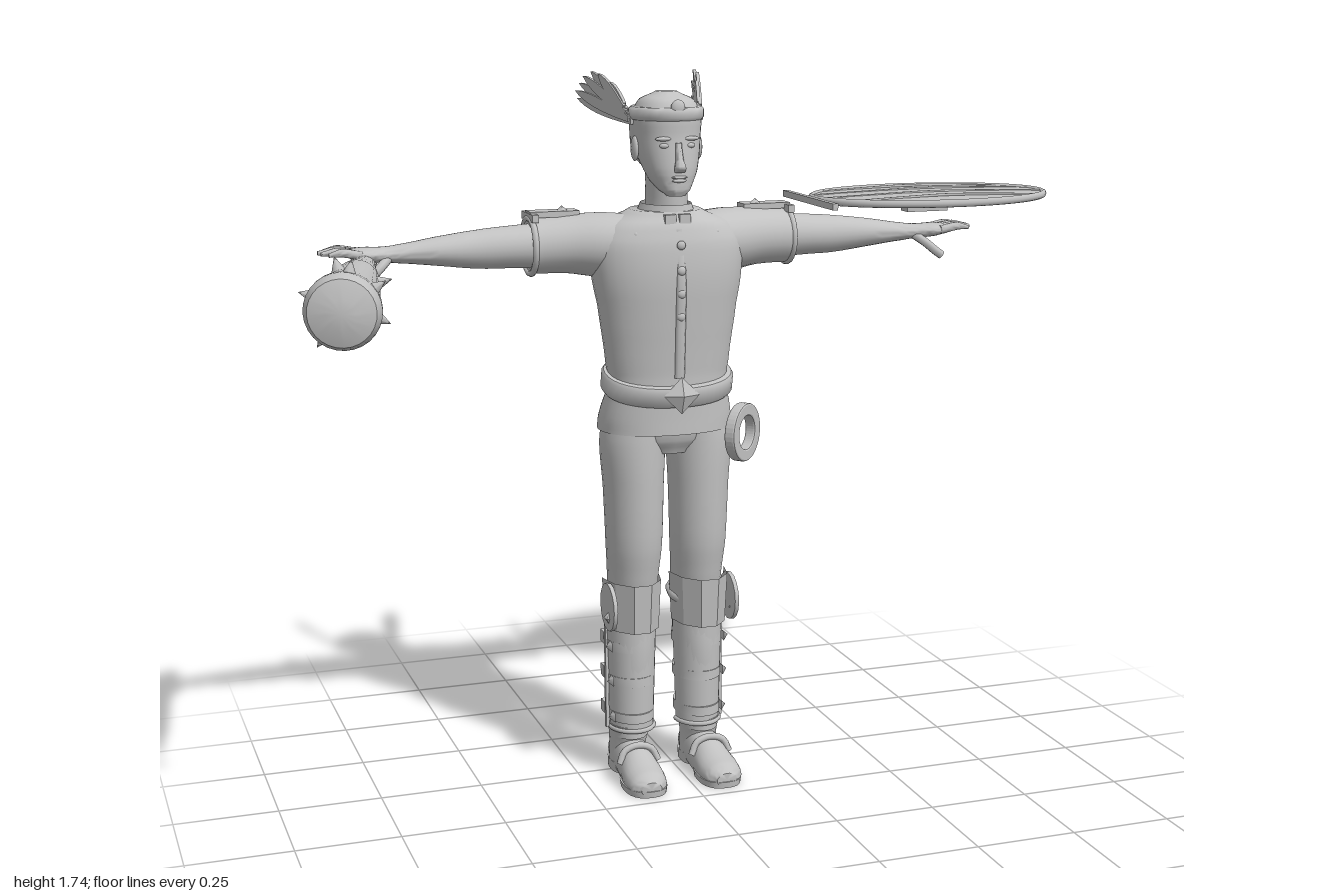
import * as THREE from 'three';
import { toCreasedNormals } from 'three/addons/utils/BufferGeometryUtils.js';

const grey = new THREE.MeshStandardMaterial({ color: 0xc2c2c2, side: THREE.DoubleSide });
grey.name = 'plain grey';

// Smooth loft of [position, a, b, ra, rb] sections: (a, b) is (x, z) on axis y, (z, y) on axis x, (y, x) on axis z
function loft(axis, rows, { n = 24, sub = 4, power = 2, caps = true, floor = -Infinity } = {}) {
  const secs = [];
  const cat = (p0, p1, p2, p3, t) => 0.5 * (2 * p1 + (p2 - p0) * t + (2 * p0 - 5 * p1 + 4 * p2 - p3) * t * t + (3 * p1 - p0 - 3 * p2 + p3) * t ** 3);
  const row = (i) => rows[Math.min(Math.max(i, 0), rows.length - 1)];
  for (let i = 0; i < rows.length - 1; i++) {
    for (let k = 0; k < sub; k++) {
      secs.push(rows[i].map((_, c) => (c === 0 || sub === 1)
        ? rows[i][c] + (rows[i + 1][c] - rows[i][c]) * k / sub
        : cat(row(i - 1)[c], row(i)[c], row(i + 1)[c], row(i + 2)[c], k / sub)));
    }
  }
  secs.push(rows[rows.length - 1]);
  const pos = [], idx = [];
  const put = (p, a, b) => {
    const v = axis === 'y' ? [a, p, b] : axis === 'x' ? [p, b, a] : [b, a, p];
    pos.push(v[0], Math.max(v[1], floor), v[2]);
  };
  const bend = (v) => Math.sign(v) * Math.abs(v) ** (2 / power);
  for (const [p, a, b, ra, rb] of secs) {
    for (let j = 0; j < n; j++) {
      const t = j / n * Math.PI * 2;
      put(p, a + ra * bend(Math.cos(t)), b + rb * bend(Math.sin(t)));
    }
  }
  for (let i = 0; i < secs.length - 1; i++) {
    for (let j = 0; j < n; j++) {
      const k = (j + 1) % n, A = i * n + j, B = i * n + k;
      idx.push(A, A + n, B, B, A + n, B + n);
    }
  }
  if (caps) {
    const last = secs.length - 1, c = secs.length * n;
    put(secs[0][0], secs[0][1], secs[0][2]);
    put(secs[last][0], secs[last][1], secs[last][2]);
    for (let j = 0; j < n; j++) {
      const k = (j + 1) % n;
      idx.push(c, j, k, c + 1, last * n + k, last * n + j);
    }
  }
  const g = new THREE.BufferGeometry();
  g.setAttribute('position', new THREE.Float32BufferAttribute(pos, 3));
  g.setIndex(idx);
  return toCreasedNormals(g, 0.9);
}

// Mirror image across x with corner order restored
function mirrored(geo) {
  const g = geo.index ? geo.toNonIndexed() : geo.clone();
  for (const key of ['position', 'normal']) {
    const a = g.attributes[key].array;
    for (let i = 0; i < a.length; i += 9) {
      for (let c = 0; c < 3; c++) [a[i + 3 + c], a[i + 6 + c]] = [a[i + 6 + c], a[i + 3 + c]];
      for (let c = 0; c < 9; c += 3) a[i + c] *= -1;
    }
  }
  return g;
}

function add(parent, name, geo) {
  const m = new THREE.Mesh(geo, grey);
  m.name = name;
  parent.add(m);
  return m;
}
const pair = (parent, name, geo) => { add(parent, name + 'Left', geo); add(parent, name + 'Right', mirrored(geo)); };
const box = (w, h, d, x, y, z) => new THREE.BoxGeometry(w, h, d).translate(x, y, z);
const ball = (r, x, y, z, sx = 1, sy = 1, sz = 1) => new THREE.SphereGeometry(r, 12, 8).scale(sx, sy, sz).translate(x, y, z);
const tube = (pts, r, n = 8) => new THREE.TubeGeometry(new THREE.CatmullRomCurve3(pts.map((p) => new THREE.Vector3(...p))), 12, r, n);

function addHead(f) {
  add(f, 'neck', loft('y', [[1.38, 0, -0.21, 0.062, 0.072], [1.43, 0, -0.2, 0.05, 0.066], [1.54, 0, -0.195, 0.05, 0.064]]));
  add(f, 'head', loft('y', [[1.463, 0, -0.125, 0.022, 0.02], [1.475, 0, -0.137, 0.036, 0.038], [1.495, 0, -0.158, 0.05, 0.06],
    [1.52, 0, -0.168, 0.062, 0.07], [1.56, 0, -0.188, 0.073, 0.086], [1.6, 0, -0.195, 0.078, 0.088],
    [1.65, 0, -0.196, 0.08, 0.088], [1.685, 0, -0.196, 0.062, 0.07], [1.703, 0, -0.196, 0.025, 0.03]], { n: 32, power: 2.2 }));
  add(f, 'hair', loft('y', [[1.53, 0, -0.23, 0.055, 0.04], [1.55, 0, -0.23, 0.073, 0.05], [1.6, 0, -0.222, 0.081, 0.066], [1.65, 0, -0.215, 0.083, 0.074]]));
  add(f, 'nose', loft('y', [[1.52, 0, -0.097, 0.013, 0.01], [1.53, 0, -0.092, 0.014, 0.016], [1.55, 0, -0.098, 0.009, 0.014], [1.588, 0, -0.108, 0.008, 0.01]], { n: 12 }));
  add(f, 'upperLip', ball(0.02, 0, 1.508, -0.099, 1, 0.2, 0.4));
  add(f, 'lowerLip', ball(0.018, 0, 1.5, -0.1, 1, 0.25, 0.4));
  pair(f, 'brow', ball(0.022, 0.033, 1.597, -0.114, 1, 0.25, 0.4));
  pair(f, 'eye', ball(0.012, 0.031, 1.581, -0.114, 1.1, 0.55, 0.6));
  pair(f, 'ear', ball(0.03, 0.079, 1.57, -0.195, 0.3, 1, 0.62));
  // Headband with front ornament and knot behind
  add(f, 'headband', loft('y', [[1.638, 0, -0.197, 0.084, 0.094], [1.645, 0, -0.197, 0.089, 0.099], [1.662, 0, -0.197, 0.089, 0.099], [1.668, 0, -0.197, 0.083, 0.093]], { n: 32, sub: 1 }));
  add(f, 'headbandOrnament', ball(0.02, 0, 1.668, -0.108, 0.9, 1, 0.5));
  add(f, 'headbandKnot', ball(0.018, 0, 1.65, -0.296, 1.2, 0.9, 0.6));
  // Feather fans: leaf from (u, y) base to (u, y) tip, u running backward
  const tips = [[0.445, 1.675], [0.447, 1.693], [0.435, 1.712], [0.41, 1.73], [0.38, 1.742], [0.34, 1.738], [0.3, 1.72]];
  tips.forEach(([u, y], i) => {
    const bu = 0.2 + 0.006 * i, by = 1.632 + 0.006 * i, len = Math.hypot(u - bu, y - by);
    const leaf = new THREE.Shape().moveTo(0, -0.006).quadraticCurveTo(len * 0.75, -0.026, len, 0)
      .quadraticCurveTo(len * 0.75, 0.02, 0, 0.008);
    pair(f, 'feather' + (i + 1), new THREE.ExtrudeGeometry(leaf, { depth: 0.008, bevelEnabled: false, curveSegments: 8 })
      .translate(0, 0, (i % 2) * 0.004).rotateZ(Math.atan2(y - by, u - bu)).translate(bu - 0.19, by, 0)
      .rotateY(Math.PI / 2 - 0.26).translate(0.078, 0, -0.19));
  });
}

function addTorso(f) {
  add(f, 'tunic', loft('y', [[0.89, 0, -0.225, 0.166, 0.124], [0.93, 0, -0.217, 0.163, 0.115], [1.0, 0, -0.2, 0.148, 0.098],
    [1.05, 0, -0.197, 0.152, 0.096], [1.2, 0, -0.195, 0.172, 0.106], [1.28, 0, -0.2, 0.186, 0.115],
    [1.35, 0, -0.208, 0.186, 0.117], [1.395, 0, -0.214, 0.155, 0.108], [1.425, 0, -0.21, 0.085, 0.085]], { n: 36, power: 2.25 }));
  add(f, 'collar', loft('y', [[1.4, 0, -0.208, 0.076, 0.088], [1.44, 0, -0.203, 0.06, 0.076]], { sub: 1, caps: false }));
  pair(f, 'collarFlap', box(0.028, 0.05, 0.012, 0.018, 1.395, -0.115).rotateZ(0));
  add(f, 'placket', tube([[0, 1.385, -0.108], [0, 1.28, -0.087], [0, 1.15, -0.093], [0, 1.03, -0.102]], 0.007, 6).scale(1.8, 1, 1));
  for (const y of [1.35, 1.29, 1.235, 1.18, 1.12]) add(f, 'button', ball(0.011, 0, y, -0.083 - 0.6 * Math.abs(y - 1.27) ** 2, 1, 1, 0.6));
  // Stud rows on the yoke
  for (let i = 0; i < 13; i++) {
    const x = (i - 6) * 0.026;
    add(f, 'backStud', ball(0.007, x, 1.382 - x * x * 0.6, -0.327 + x * x * 0.9));
  }
  for (let i = 0; i < 4; i++) pair(f, 'frontStud', ball(0.007, 0.1 + i * 0.03, 1.375, -0.122 - i * 0.02));
  // Belt tilted down at the front, with diamond buckle
  add(f, 'belt', loft('y', [[-0.025, 0, 0, 0.158, 0.112], [-0.018, 0, 0, 0.163, 0.117], [0.018, 0, 0, 0.163, 0.117], [0.025, 0, 0, 0.158, 0.112]], { n: 36, sub: 1, power: 2.2 })
    .rotateX(0.25).translate(0, 1.01, -0.2));
  add(f, 'buckle', new THREE.OctahedronGeometry(0.045).scale(1, 1, 0.4).translate(0, 0.99, -0.085));
  // Ring hanging at the hip
  const ring = new THREE.Shape().absellipse(0, 0, 0.067, 0.067, 0, Math.PI * 2);
  ring.holes.push(new THREE.Path().absellipse(0, 0, 0.045, 0.045, 0, Math.PI * 2));
  add(f, 'hipRing', new THREE.ExtrudeGeometry(ring, { depth: 0.018, bevelSize: 0.004, bevelThickness: 0.005, bevelSegments: 2, curveSegments: 20 })
    .translate(0, 0, -0.009).rotateY(0.75).translate(0.147, 0.895, -0.065));
}

function addArms(f) {
  pair(f, 'sleeve', loft('x', [[0.09, -0.215, 1.345, 0.09, 0.07], [0.16, -0.228, 1.342, 0.088, 0.077], [0.24, -0.243, 1.345, 0.076, 0.07], [0.328, -0.25, 1.343, 0.07, 0.067]]));
  pair(f, 'cuff', new THREE.TorusGeometry(0.066, 0.008, 8, 24).rotateY(Math.PI / 2).translate(0.325, 1.343, -0.25));
  pair(f, 'epaulette', box(0.12, 0.014, 0.05, 0.268, 1.418, -0.25));
  pair(f, 'epauletteBand', box(0.016, 0.018, 0.1, 0.322, 1.412, -0.25));
  pair(f, 'epauletteStud', new THREE.ConeGeometry(0.014, 0.012, 4).translate(0.245, 1.43, -0.25));
  pair(f, 'arm', loft('x', [[0.3, -0.25, 1.343, 0.054, 0.054], [0.38, -0.252, 1.342, 0.052, 0.05], [0.45, -0.253, 1.34, 0.047, 0.046],
    [0.55, -0.25, 1.34, 0.04, 0.034], [0.64, -0.25, 1.338, 0.03, 0.022], [0.68, -0.25, 1.338, 0.032, 0.018],
    [0.72, -0.25, 1.34, 0.044, 0.017], [0.75, -0.25, 1.342, 0.044, 0.013]]));
  // Fingers and thumb
  [0.065, 0.08, 0.076, 0.062].forEach((len, i) => {
    const z = -0.284 + i * 0.023;
    pair(f, 'finger' + (i + 1), loft('x', [[0.73, z, 1.342, 0.011, 0.011], [0.745 + len / 2, z * 1.02 + 0.005, 1.35, 0.01, 0.01], [0.745 + len, z * 1.06 + 0.015, 1.346, 0.005, 0.005]], { n: 10 }));
  });
  pair(f, 'thumb', tube([[0.665, 1.332, -0.235], [0.69, 1.312, -0.212], [0.712, 1.293, -0.205], [0.73, 1.28, -0.203]], 0.011));
}

function addLegs(f) {
  add(f, 'pelvis', loft('y', [[0.835, 0, -0.215, 0.08, 0.07], [0.87, 0, -0.217, 0.145, 0.09], [0.95, 0, -0.21, 0.15, 0.095]]));
  pair(f, 'trouser', loft('y', [[0.1, 0.093, -0.235, 0.045, 0.06], [0.2, 0.09, -0.235, 0.052, 0.062], [0.32, 0.086, -0.234, 0.057, 0.07],
    [0.42, 0.084, -0.235, 0.06, 0.07], [0.455, 0.084, -0.24, 0.064, 0.078], [0.5, 0.083, -0.23, 0.062, 0.078],
    [0.6, 0.083, -0.215, 0.069, 0.082], [0.75, 0.084, -0.213, 0.074, 0.088], [0.86, 0.085, -0.215, 0.08, 0.092], [0.93, 0.08, -0.215, 0.075, 0.09]]));
  pair(f, 'trouserFold', new THREE.TorusGeometry(0.058, 0.014, 8, 24).rotateX(Math.PI / 2 + 0.2).scale(1, 1, 1.2).translate(0.084, 0.455, -0.24));
  // Shin guard and faceted knee guard wrap the front half
  const half = (top, bottom, h, n, sz, y, z) => new THREE.CylinderGeometry(top, bottom, h, n, 3, true, -Math.PI / 2, Math.PI).scale(1, 1, sz).translate(0.087, y, z);
  pair(f, 'shinGuard', half(0.064, 0.055, 0.29, 16, 1.17, 0.265, -0.237));
  pair(f, 'shinGuardRim', new THREE.TorusGeometry(0.056, 0.006, 6, 16, Math.PI).rotateX(Math.PI / 2).scale(1, 1, 1.17).translate(0.087, 0.122, -0.237));
  pair(f, 'kneeGuard', toCreasedNormals(half(0.073, 0.067, 0.125, 5, 1.55, 0.45, -0.235), 0.3));
  pair(f, 'kneeSide', new THREE.CylinderGeometry(0.06, 0.06, 0.01, 16).rotateZ(Math.PI / 2).translate(0.157, 0.45, -0.185));
  pair(f, 'kneeStud', new THREE.ConeGeometry(0.016, 0.014, 4).rotateX(Math.PI / 4).rotateZ(-Math.PI / 2).translate(0.165, 0.425, -0.17));
  pair(f, 'sideEdge', box(0.008, 0.29, 0.012, 0.15, 0.265, -0.237));
  // Three straps with studs and buckles
  for (const [y, r] of [[0.34, 0.063], [0.25, 0.06], [0.155, 0.057]]) {
    pair(f, 'strap', loft('y', [[y - 0.012, 0.088, -0.24, r, 0.075], [y + 0.012, 0.088, -0.24, r, 0.075]], { sub: 1 }));
    pair(f, 'strapBuckle', box(0.03, 0.032, 0.012, 0.105, y, -0.318));
    pair(f, 'strapLoop', box(0.012, 0.03, 0.03, 0.138, y, -0.295));
    pair(f, 'strapStud', new THREE.ConeGeometry(0.017, 0.014, 4).rotateY(Math.PI / 4).rotateZ(-Math.PI / 2).translate(0.087 + r + 0.004, y, -0.207));
  }
  // Boots
  pair(f, 'bootShaft', loft('y', [[0.02, 0.094, -0.25, 0.045, 0.052], [0.08, 0.094, -0.245, 0.046, 0.056], [0.13, 0.093, -0.237, 0.051, 0.064]]));
  pair(f, 'bootFoot', loft('z', [[-0.305, 0.045, 0.094, 0.03, 0.025], [-0.285, 0.045, 0.094, 0.048, 0.04], [-0.22, 0.04, 0.094, 0.062, 0.044],
    [-0.16, 0.032, 0.095, 0.056, 0.047], [-0.1, 0.025, 0.097, 0.042, 0.052], [-0.055, 0.022, 0.098, 0.033, 0.046], [-0.032, 0.02, 0.098, 0.018, 0.026]], { floor: 0.004 }));
  pair(f, 'sole', loft('y', [[0, 0.097, -0.105, 0.052, 0.075], [0.016, 0.097, -0.105, 0.054, 0.077]], { sub: 1, power: 2.5 }));
  pair(f, 'heel', loft('y', [[0, 0.094, -0.255, 0.044, 0.05], [0.026, 0.094, -0.255, 0.045, 0.051]], { sub: 1, power: 3 }));
  pair(f, 'bootStrap', tube([[0.045, 0.05, -0.15], [0.06, 0.08, -0.155], [0.095, 0.092, -0.155], [0.13, 0.08, -0.155], [0.144, 0.05, -0.15]], 0.009));
}

function createClub() {
  const club = new THREE.Group();
  club.name = 'club';
  const from = new THREE.Vector3(-0.712, 1.316, -0.37), dir = new THREE.Vector3(-0.205, 0, 0.81);
  club.position.copy(from);
  club.quaternion.setFromUnitVectors(new THREE.Vector3(0, 1, 0), dir.normalize());
  const profile = [[0, 0], [0.02, 0], [0.023, 0.01], [0.025, 0.15], [0.035, 0.26], [0.05, 0.4], [0.06, 0.55], [0.069, 0.68], [0.079, 0.78], [0.08, 0.8], [0.07, 0.825], [0.03, 0.838], [0, 0.838]];
  add(club, 'clubBody', toCreasedNormals(new THREE.LatheGeometry(profile.map((p) => new THREE.Vector2(...p)), 28), 0.8));
  const spikes = [[0.67, 90], [0.62, 270], [0.45, 270], [0.53, 180], [0.5, 0], [0.71, 150], [0.78, 20], [0.78, 65], [0.7, 320], [0.74, 220]];
  for (const [t, deg] of spikes) {
    add(club, 'spike', new THREE.ConeGeometry(0.015, 0.032, 8).rotateZ(-Math.PI / 2)
      .translate(0.052 + (t - 0.4) * 0.07 + 0.011, t, 0).rotateY(deg * Math.PI / 180));
  }
  return club;
}

function createShield() {
  const shield = new THREE.Group();
  shield.name = 'shield';
  shield.position.set(0.683, 1.422, -0.242);
  const RX = 0.312, RZ = 0.2;
  add(shield, 'board', loft('y', [[0, 0, 0, RX, RZ], [0.01, 0, 0, RX, RZ], [0.014, 0, 0, RX * 0.75, RZ * 0.75], [0.017, 0, 0, RX * 0.4, RZ * 0.4], [0.018, 0, 0, 0.01, 0.01]], { n: 48, sub: 1 }));
  add(shield, 'rim', new THREE.TorusGeometry(1, 0.03, 8, 64).rotateX(Math.PI / 2).scale(RX - 0.006, 0.32, RZ - 0.003).translate(0, 0.006, 0));
  // Plank seams
  for (const z of [-0.118, -0.04, 0.036, 0.115]) {
    const L = RX * Math.sqrt(1 - (z / RZ) ** 2) - 0.012;
    add(shield, 'plankSeam', tube([[-L, 0.01, z], [-L / 2, 0.015, z + 0.003], [0, 0.018, z], [L / 2, 0.015, z + 0.003], [L, 0.01, z]], 0.004, 6));
  }
  add(shield, 'edgeBar', box(0.014, 0.016, 0.33, -0.319, 0.004, -0.005));
  add(shield, 'grip', box(0.11, 0.012, 0.04, -0.01, -0.027, 0));
  return shield;
}

export function createModel() {
  const model = new THREE.Group();
  model.name = 'warrior';
  const figure = new THREE.Group();
  figure.name = 'figure';
  figure.position.x = -0.025;
  addHead(figure);
  addTorso(figure);
  addArms(figure);
  addLegs(figure);
  model.add(figure, createClub(), createShield());
  return model;
}
